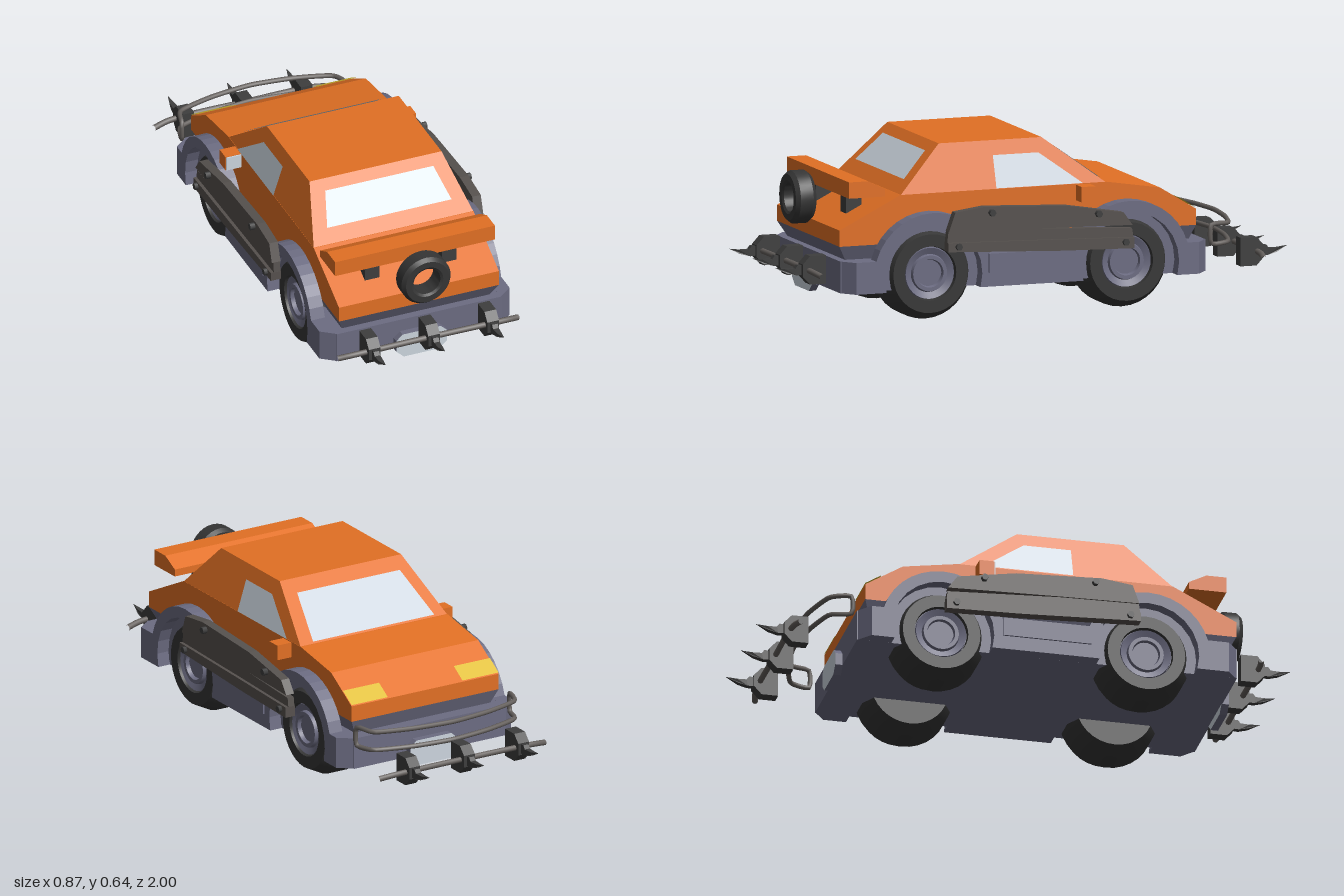
import * as THREE from 'three';
import { toCreasedNormals } from 'three/addons/utils/BufferGeometryUtils.js';
import { ConvexGeometry } from 'three/addons/geometries/ConvexGeometry.js';

function material(name, color, side = THREE.FrontSide) {
  const m = new THREE.MeshStandardMaterial({ color, side });
  m.name = name;
  return m;
}

export function createModel() {
  const car = new THREE.Group();
  car.name = 'armouredCar';
  const orange = material('orangePaint', 0xe27024);
  const purple = material('greyCladding', 0x6c6c82);
  const rubber = material('blackRubber', 0x353535);
  const iron = material('darkIron', 0x3e3e3e);
  const steel = material('barSteel', 0x65605d);
  const armour = material('armourPlate', 0x56514e);
  const glass = material('glass', 0xccd5de, THREE.DoubleSide);
  const yellow = material('headlightYellow', 0xdfbe34, THREE.DoubleSide);

  const add = (name, geo, mat, x = 0, y = 0, z = 0, parent = car) => {
    const m = new THREE.Mesh(geo, mat);
    m.name = name;
    m.position.set(x, y, z);
    parent.add(m);
    return m;
  };
  // Side profile given as [z, y], extruded across x and centred on x = 0
  const slab = (pts, width) => {
    const g = new THREE.ExtrudeGeometry(new THREE.Shape(pts.map(p => new THREE.Vector2(...p))),
      { depth: width, bevelEnabled: false });
    return g.translate(0, 0, -width / 2).rotateY(-Math.PI / 2);
  };
  // Block between rectangles [y, halfWidth, zMin, zMax]
  const frustum = (...rings) => new ConvexGeometry(rings.flatMap(([y, w, a, b]) =>
    [[-w, a], [w, a], [w, b], [-w, b]].map(([x, z]) => new THREE.Vector3(x, y, z))));
  const quad = pts => {
    const g = new THREE.BufferGeometry();
    g.setAttribute('position', new THREE.Float32BufferAttribute(pts.flat(), 3));
    g.setIndex([0, 1, 2, 0, 2, 3]);
    g.computeVertexNormals();
    return g;
  };
  const lathe = (pts, seg = 32) => toCreasedNormals(
    new THREE.LatheGeometry(pts.map(p => new THREE.Vector2(...p)), seg), 0.5);
  const box = (x, y, z) => new THREE.BoxGeometry(x, y, z);

  // Painted body and cabin
  add('body', slab([[0.777, 0.288], [0.777, 0.348], [0.54, 0.465], [-0.263, 0.467],
    [-0.47, 0.434], [-0.61, 0.348], [-0.61, 0.288]], 0.63), orange);
  add('cabin', frustum([0.463, 0.315, -0.263, 0.54], [0.637, 0.26, -0.03, 0.37]), orange);
  add('underBody', frustum([0.288, 0.315, -0.61, 0.777], [0.232, 0.29, -0.59, 0.745]), purple);

  // Windows
  const frontY = z => 0.472 + (z + 0.263) / 0.233 * 0.17;
  const rearY = z => 0.470 + (0.54 - z) / 0.17 * 0.172;
  add('windshield', quad([[0.26, frontY(-0.258), -0.258], [-0.26, frontY(-0.258), -0.258],
    [-0.22, frontY(-0.085), -0.085], [0.22, frontY(-0.085), -0.085]]), glass);
  add('rearWindow', quad([[-0.245, rearY(0.5), 0.5], [0.245, rearY(0.5), 0.5],
    [0.213, rearY(0.405), 0.405], [-0.213, rearY(0.405), 0.405]]), glass);
  for (const s of [-1, 1]) {
    const x = y => s * (0.319 - (y - 0.463) / 0.174 * 0.055);
    add('sideWindow', quad([[0.167, 0.468], [-0.17, 0.468], [-0.01, 0.585], [0.167, 0.585]]
      .map(([z, y]) => [x(y), y, z])), glass);
    add('headlight', quad([[s * 0.315, 0.353, -0.61], [s * 0.16, 0.353, -0.61],
      [s * 0.16, 0.39, -0.55], [s * 0.315, 0.39, -0.55]]), yellow);
    // Door mirrors and spoiler legs
    add('mirror', box(0.065, 0.057, 0.055), orange, s * 0.343, 0.435, -0.17);
    add('spoilerLeg', box(0.058, 0.1, 0.06), iron, s * 0.152, 0.435, 0.67);
  }
  add('mirrorGlass', box(0.06, 0.053, 0.006), glass, -0.343, 0.435, -0.14);
  add('spoiler', slab([[0.74, 0.463], [0.74, 0.523], [0.665, 0.523], [0.6, 0.49], [0.6, 0.463]], 0.63), orange);

  // Floor and fender panels with wheel openings
  const wheelZ = [0.434, -0.332], axleY = 0.17;
  const arc = (pts, z, r, a, b) => {
    for (let i = 0; i <= 14; i++) {
      const t = a + (b - a) * i / 14;
      pts.push([z + r * Math.cos(t), axleY + r * Math.sin(t)]);
    }
  };
  const floorShape = [[0.777, 0.118], [0.777, 0.235], [-0.643, 0.235], [-0.643, 0.118]];
  add('floor', slab(floorShape, 0.65), purple);
  const outline = [[0.777, 0.118], [0.777, 0.235]];
  wheelZ.forEach(z => arc(outline, z, 0.232, 0.285, Math.PI - 0.285));
  outline.push([-0.643, 0.235], [-0.643, 0.118]);
  [...wheelZ].reverse().forEach(z => arc(outline, z, 0.19, Math.PI + 0.277, -0.277));
  for (const s of [-1, 1]) {
    const g = slab(outline, 0.055).translate(s * 0.3475, 0, 0);
    const p = g.attributes.position;
    // Cut back the outer corners
    for (let i = 0; i < p.count; i++) {
      if (Math.abs(p.getX(i)) < 0.37) continue;
      if (p.getZ(i) > 0.77) p.setZ(i, 0.735);
      if (p.getZ(i) < -0.64) p.setZ(i, -0.6);
    }
    g.computeVertexNormals();
    add('fender', g, purple);
    add('sill', box(0.012, 0.07, 0.33), purple, s * 0.376, 0.205, 0.055);
  }

  // Wheels
  const tyre = lathe([[0, -0.1], [0.145, -0.1], [0.174, -0.042], [0.174, 0.042], [0.145, 0.1],
    [0.1, 0.1], [0.096, 0.07], [0, 0.07]]).rotateZ(-Math.PI / 2);
  const rim = lathe([[0.097, 0.07], [0.094, 0.092], [0.07, 0.082], [0.066, 0.095], [0.052, 0.095],
    [0.048, 0.08], [0, 0.08]]).rotateZ(-Math.PI / 2);
  const liner = new THREE.CircleGeometry(0.2, 24, -0.25, Math.PI + 0.5).rotateY(Math.PI / 2);
  for (const s of [-1, 1]) for (const z of wheelZ) {
    const wheel = new THREE.Group();
    wheel.name = 'wheel';
    wheel.position.set(s * 0.245, axleY + 0.004, z);
    wheel.rotation.y = s < 0 ? Math.PI : 0;
    add('tyre', tyre, rubber, 0, 0, 0, wheel);
    add('rim', rim, purple, 0, 0, 0, wheel);
    add('wheelWell', liner, purple, 0.082, 0, 0, wheel);
    car.add(wheel);
  }
  add('spareTyre', lathe([[0.053, -0.034], [0.062, -0.04], [0.085, -0.04], [0.097, -0.025], [0.097, 0.025],
    [0.085, 0.04], [0.062, 0.04], [0.053, 0.034], [0.053, -0.034]]).rotateX(Math.PI / 2),
  rubber, 0, 0.428, 0.818);

  // Number plates
  const plateShape = new THREE.Shape([[-0.07, -0.048], [0.07, -0.048], [0.1, -0.02], [0.1, 0.025],
    [0.075, 0.048], [-0.075, 0.048], [-0.1, 0.025], [-0.1, -0.02]].map(p => new THREE.Vector2(...p)));
  const plate = new THREE.ExtrudeGeometry(plateShape, { depth: 0.028, bevelEnabled: false });
  add('rearPlate', plate, [glass, purple], 0, 0.138, 0.774);
  add('frontPlate', plate, [glass, purple], 0, 0.138, -0.642).rotation.y = Math.PI;

  // Looped bull bar
  const half = [[-0.328, -0.665], [-0.3, -0.74], [-0.16, -0.782], [0, -0.8], [0.16, -0.782], [0.3, -0.74], [0.328, -0.665]];
  const loop = [...half.map(([x, z]) => new THREE.Vector3(x, 0.287, z)),
    ...half.reverse().map(([x, z]) => new THREE.Vector3(x, 0.218, z))];
  add('bullBar', new THREE.TubeGeometry(new THREE.CatmullRomCurve3(loop, true, 'catmullrom', 0.3), 96, 0.009, 8, true), steel);

  // Spiked bars at both ends
  const barCurve = new THREE.CatmullRomCurve3([[-0.355, 0.188, 0.86], [-0.29, 0.197, 0.873], [0, 0.2, 0.875],
    [0.29, 0.197, 0.873], [0.355, 0.188, 0.86]].map(p => new THREE.Vector3(...p)));
  const bar = new THREE.TubeGeometry(barCurve, 32, 0.011, 8);
  const clamp = slab([[0.81, 0.147], [0.81, 0.252], [0.872, 0.252], [0.9, 0.222], [0.9, 0.177], [0.872, 0.147]], 0.046);
  const spike = slab([[0.89, 0.183], [0.89, 0.217], [0.915, 0.219], [0.925, 0.206], [0.96, 0.206],
    [1, 0.212], [0.955, 0.19], [0.92, 0.181]], 0.022);
  const sp = spike.attributes.position;
  // Narrow each blade to a point
  for (let i = 0; i < sp.count; i++) sp.setX(i, sp.getX(i) * Math.min(1, (1 - sp.getZ(i)) / 0.06 + 0.1));
  spike.computeVertexNormals();
  for (const rear of [true, false]) {
    const rack = new THREE.Group();
    rack.name = rear ? 'rearSpikeBar' : 'frontSpikeBar';
    rack.position.y = rear ? 0 : -0.034;
    rack.rotation.y = rear ? 0 : Math.PI;
    add('bar', bar, steel, 0, 0, 0, rack);
    for (const x of [-0.226, 0.008, 0.241]) {
      add('clamp', clamp, iron, x, 0, 0, rack);
      add('spike', spike, iron, x, 0, 0, rack);
    }
    car.add(rack);
  }

  // Bolted side armour
  const plates = [
    [[0.39, 0.335], [0.365, 0.405], [0.25, 0.42], [-0.07, 0.405], [-0.29, 0.368], [-0.325, 0.32], [0.1, 0.33]],
    [[0.395, 0.29], [0.39, 0.335], [0.1, 0.33], [-0.325, 0.308], [-0.33, 0.275]],
    [[0.395, 0.262], [0.395, 0.295], [0, 0.285], [-0.33, 0.275], [-0.33, 0.235], [-0.05, 0.242]]];
  const bolt = new THREE.CylinderGeometry(0.013, 0.013, 0.026, 6).rotateZ(Math.PI / 2);
  for (const s of [-1, 1]) {
    plates.forEach((pts, i) => add('armourPlate', slab(pts, [0.034, 0.026, 0.04][i]), armour,
      s * [0.4, 0.398, 0.403][i], 0, 0));
    for (const [z, y] of [[0.225, 0.398], [-0.19, 0.37], [0.355, 0.28], [-0.295, 0.26]])
      add('bolt', bolt, iron, s * 0.423, y, z);
  }
  return car;
}
